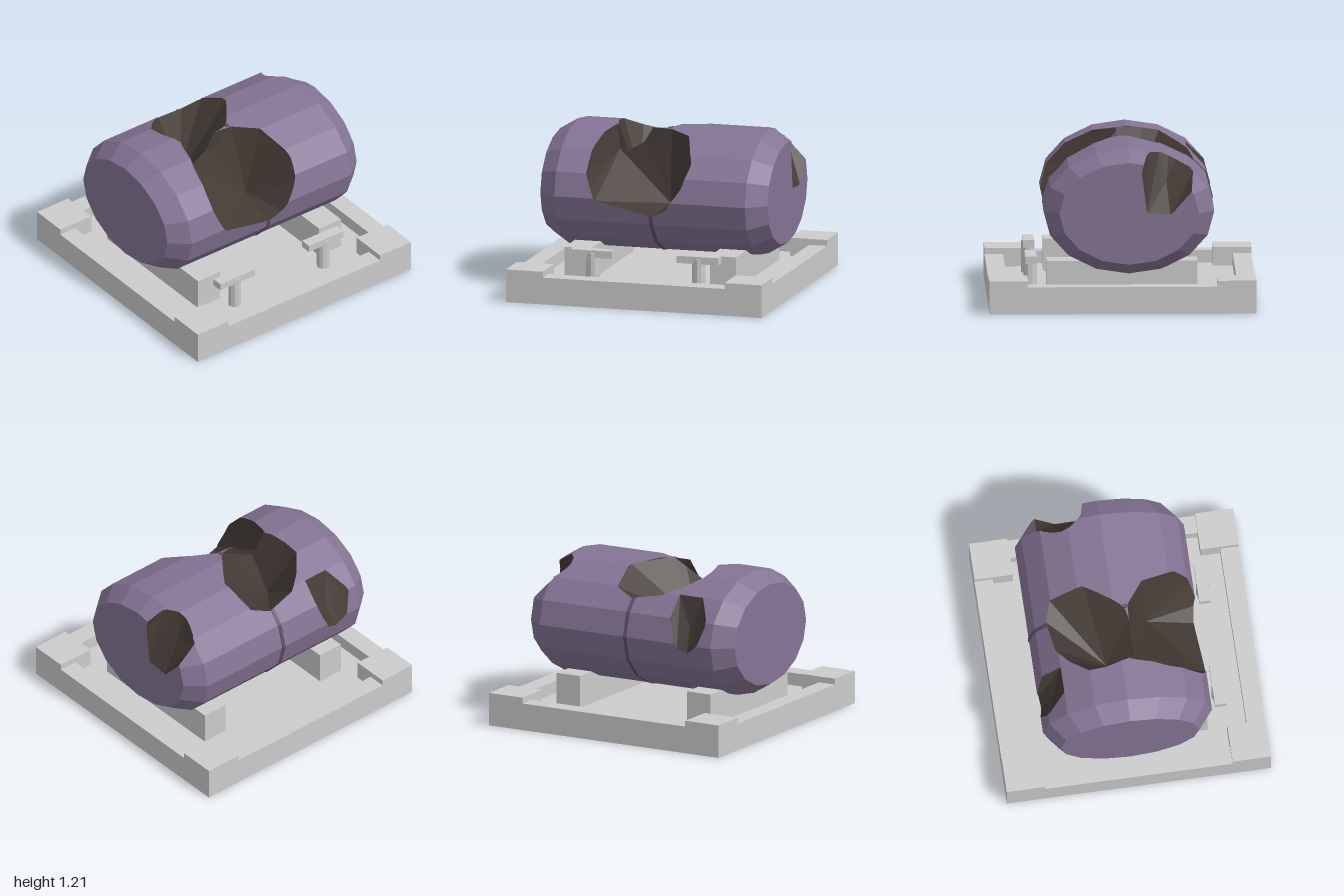
import * as THREE from 'three';
import { ConvexGeometry } from 'three/addons/geometries/ConvexGeometry.js';

const EPS = 1e-5;
const mat = (color) => new THREE.MeshStandardMaterial({ color, flatShading: true });
const vec = (p) => new THREE.Vector3(...p);

// Point on the oval tank: degrees run from the front (0) over the top (90) to the back (180)
function onTank(x, degrees, scale = 1) {
  const a = THREE.MathUtils.degToRad(degrees);
  return new THREE.Vector3(x, 0.742 + 0.472 * scale * Math.sin(a), -0.05 + 0.64 * scale * Math.cos(a));
}

// A convex solid as triangles plus their outward planes
function convex(points) {
  const pos = new ConvexGeometry(points).getAttribute('position');
  const polys = [], planes = [];
  for (let i = 0; i < pos.count; i += 3) {
    const tri = [0, 1, 2].map((k) => new THREE.Vector3().fromBufferAttribute(pos, i + k));
    polys.push(tri);
    planes.push(new THREE.Plane().setFromCoplanarPoints(...tri));
  }
  return { polys, planes };
}

// Split a polygon into the parts outside and inside a plane
function split(poly, plane) {
  const d = poly.map((p) => plane.distanceToPoint(p));
  if (d.every((v) => v <= EPS)) return [null, poly];
  if (d.every((v) => v >= -EPS)) return [poly, null];
  const out = [], inside = [];
  poly.forEach((p, i) => {
    const j = (i + 1) % poly.length;
    if (d[i] >= -EPS) out.push(p);
    if (d[i] <= EPS) inside.push(p);
    if ((d[i] > EPS && d[j] < -EPS) || (d[i] < -EPS && d[j] > EPS)) {
      const m = p.clone().lerp(poly[j], d[i] / (d[i] - d[j]));
      out.push(m);
      inside.push(m);
    }
  });
  return [out, inside];
}

// Keep what lies outside (or, with keepInside, inside) a convex solid
function clip(polys, solid, keepInside = false) {
  const kept = [];
  for (const poly of polys) {
    let rest = poly;
    for (const plane of solid.planes) {
      const [out, inside] = split(rest, plane);
      if (out && !keepInside) kept.push(out);
      rest = inside;
      if (!rest) break;
    }
    if (rest && keepInside) kept.push(rest);
  }
  return kept;
}

function polyMesh(name, polys, material) {
  const pts = [];
  for (const p of polys) {
    for (let i = 1; i + 1 < p.length; i++) pts.push(p[0], p[i], p[i + 1]);
  }
  const geo = new THREE.BufferGeometry().setFromPoints(pts);
  geo.computeVertexNormals();
  const mesh = new THREE.Mesh(geo, material);
  mesh.name = name;
  return mesh;
}

// Sixteen-sided oval solid from [x, scale] sections
function ovalSolid(sections) {
  const pts = [];
  for (const [x, scale] of sections) {
    for (let i = 0; i < 16; i++) pts.push(onTank(x, i * 22.5, scale));
  }
  return convex(pts);
}

// Hole cutter: rim as [x, degrees] on the tank, the same rim moved outward, and deep points
function cutter(rim, push, deep) {
  const r = rim.map(([x, degrees]) => onTank(x, degrees));
  return convex([...r, ...r.map((p) => p.clone().add(vec(push))), ...deep.map(vec)]);
}

export function createModel() {
  const model = new THREE.Group();
  const grey = mat(0xcccccc), purple = mat(0x857495), darkPurple = mat(0x5c5068), brown = mat(0x443b35);

  const box = (name, w, h, d, x, y, z) => {
    const m = new THREE.Mesh(new THREE.BoxGeometry(w, h, d), grey);
    m.position.set(x, y + h / 2, z);
    m.name = name;
    model.add(m);
  };

  // Base: floor slab, low edges and raised corners
  const floor = 0.11;
  box('baseFloor', 2, floor, 2, 0, 0, 0);
  for (const s of [-1, 1]) {
    box('sideEdge', 0.14, 0.205 - floor, 1.42, s * 0.93, floor, 0);
    box('endEdge', 1.42, 0.205 - floor, 0.14, 0, floor, s * 0.93);
    for (const t of [-1, 1]) box('cornerPad', 0.29, 0.25 - floor, 0.29, s * 0.855, floor, t * 0.855);

    // Cradle rails under the tank
    box('cradleRail', 0.205, 0.355 - floor, 1.13, s * 0.568, floor, 0);

    // T-shaped clamp handles at the front
    box('handleBar', 0.325, 0.055, 0.085, s * 0.415, 0.32, 0.68);
    const stem = new THREE.Mesh(new THREE.CylinderGeometry(0.05, 0.05, 0.355 - floor, 10), grey);
    stem.position.set(s * 0.415, (0.355 + floor) / 2, 0.683);
    stem.name = 'handleStem';
    model.add(stem);
  }

  // Torn holes in the tank
  const frontHole = cutter(
    [[0, -15], [0.12, -8], [0.24, 14], [0.29, 37], [0.19, 68], [0.02, 80],
      [-0.42, 84], [-0.49, 57], [-0.51, 37], [-0.51, 22], [-0.48, 10], [-0.43, -2]],
    [0, 0.25, 0.3],
    [[0.05, 0.66, 0.2], [-0.39, 1.02, 0.05], [-0.16, 1.07, 0.06]]);
  const topHole = cutter(
    [[-0.41, 83], [-0.46, 101], [-0.46, 113], [-0.35, 127], [-0.22, 138],
      [0.03, 144], [0.17, 136], [0.19, 121], [0.21, 108], [0, 83]],
    [0, 0.3, 0],
    [[-0.3, 0.79, -0.15], [-0.33, 1.01, 0.06], [-0.1, 1.14, 0.05]]);
  const backHole = cutter(
    [[-0.57, 135], [-0.37, 135], [-0.36, 150], [-0.38, 166], [-0.45, 186],
      [-0.53, 190], [-0.64, 177], [-0.68, 164], [-0.66, 149]],
    [0, 0.1, -0.3],
    [[-0.5, 0.85, -0.58]]);
  const endHole = cutter(
    [[0.76, 103], [0.69, 111], [0.67, 118], [0.68, 124], [0.74, 139]],
    [0.2, 0.1, 0],
    [[0.9, 0.73, -0.18], [0.9, 0.72, -0.36], [0.9, 0.92, -0.54], [0.9, 1.03, -0.14], [0.73, 0.97, -0.33]]);
  const holes = [frontHole, topHole, backHole, endHole];

  // Tank shell and its middle seam, with the holes cut out
  const tank = ovalSolid([[-0.888, 0.818], [-0.745, 1], [0.745, 1], [0.888, 0.818]]);
  const seam = ovalSolid([[-0.014, 1.01], [0.014, 1.01]]);
  const pierce = (solid) => holes.reduce((polys, hole) => clip(polys, hole), solid.polys);
  model.add(polyMesh('tankShell', pierce(tank), purple), polyMesh('tankSeam', pierce(seam), darkPurple));

  // Inner faces of the holes
  for (const hole of holes) {
    const others = holes.filter((other) => other !== hole);
    const walls = others.reduce((polys, other) => clip(polys, other), clip(hole.polys, tank, true));
    model.add(polyMesh('holeWall', walls.map((p) => [...p].reverse()), brown));
  }

  return model;
}
